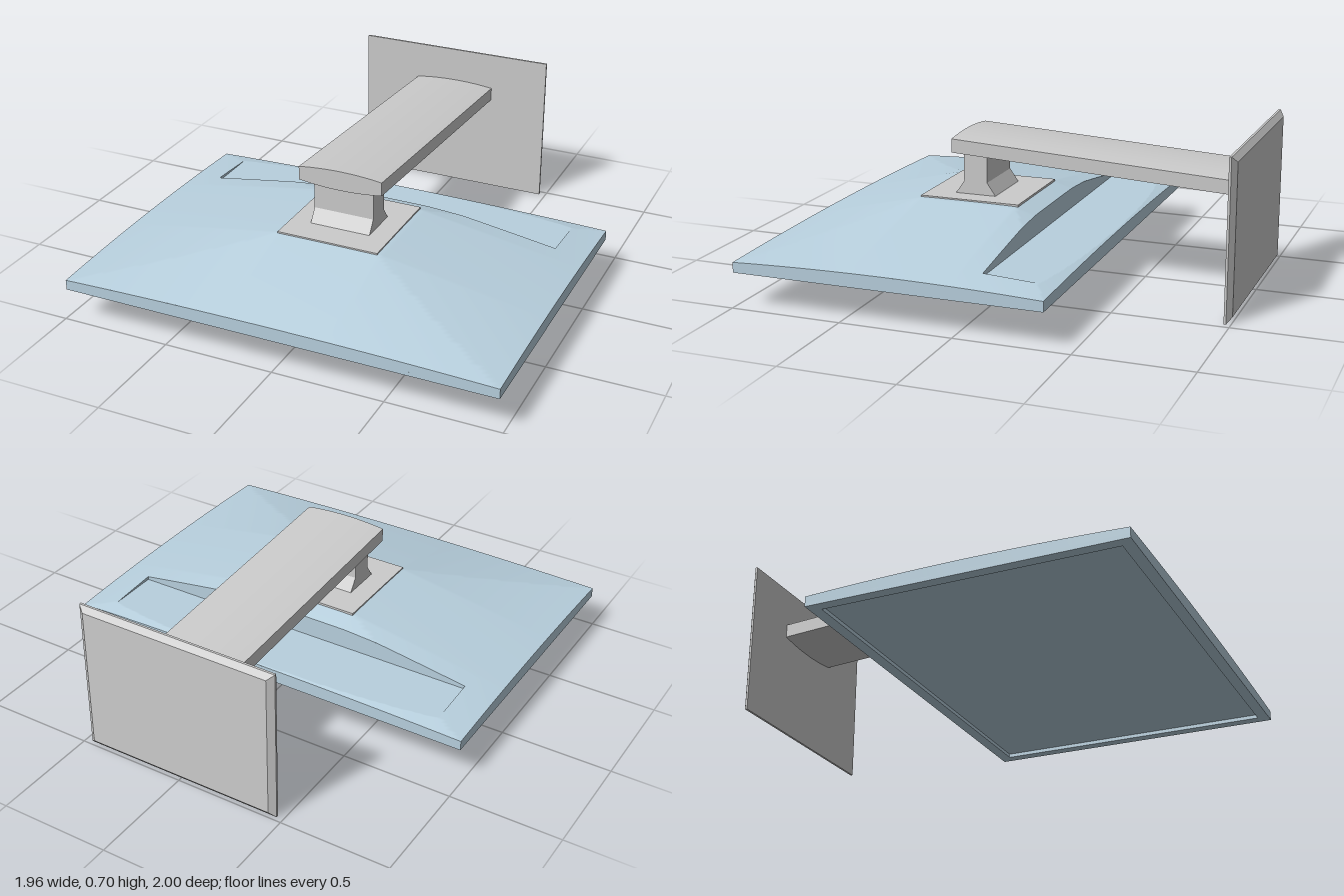
import * as THREE from 'three';
import { ParametricGeometry } from 'three/addons/geometries/ParametricGeometry.js';

const HALF_W = 0.98, BACK = -0.38, FRONT = 1.0;
const BOTTOM = 0.15, FLOOR = 0.214, STEP_Z = -0.07, STEP_X = 0.84;
const lerp = THREE.MathUtils.lerp;
const ramp = (t) => THREE.MathUtils.clamp(t, 0, 1);

// Height of the domed rear shell: a softened pyramid with a flat middle
function shellY(x, z) {
  const f = ramp((HALF_W - Math.abs(x)) / 0.74);
  const g = Math.min(ramp((z - BACK) / 0.4), ramp((FRONT - z) / 0.52));
  const dome = 0.5 * Math.min(f, g) + 0.5 * f * g;
  const nx = x / HALF_W, nz = (z - 0.31) / 0.69;
  return 0.195 + 0.016 * (1 - nx * nx) + 0.016 * (1 - nz * nz) + 0.11 * dome;
}
const recessY = (x, z) => Math.min(FLOOR, shellY(x, z));

export function createModel() {
  const group = new THREE.Group();
  const blue = new THREE.MeshStandardMaterial({ color: 0xb8d0de, side: THREE.DoubleSide });
  const grey = new THREE.MeshStandardMaterial({ color: 0xcccccc });

  function add(parent, name, geometry, material) {
    const mesh = new THREE.Mesh(geometry, material);
    mesh.name = name;
    parent.add(mesh);
    return mesh;
  }

  const display = new THREE.Group();
  display.name = 'displayPanel';
  group.add(display);

  // Patch of a height function, facing up
  function patch(name, x0, x1, z0, z1, height, nz, nx) {
    add(display, name, new ParametricGeometry((u, v, p) => {
      const z = lerp(z0, z1, u), x = lerp(x0, x1, v);
      p.set(x, height(x, z), z);
    }, nz, nx), blue);
  }
  // Upright wall over the line a to b, between two height functions
  function wall(name, a, b, low, high, n = 48) {
    add(display, name, new ParametricGeometry((u, v, p) => {
      const x = lerp(a[0], b[0], u), z = lerp(a[1], b[1], u);
      p.set(x, lerp(low(x, z), high(x, z), v), z);
    }, n, 1), blue);
  }

  // Rear shell around the recess, and the recess floor
  patch('rearShell', -HALF_W, HALF_W, STEP_Z, FRONT, shellY, 64, 98);
  patch('rearShellRight', -HALF_W, -STEP_X, BACK, STEP_Z, shellY, 24, 8);
  patch('rearShellLeft', STEP_X, HALF_W, BACK, STEP_Z, shellY, 24, 8);
  patch('recessFloor', -STEP_X, STEP_X, BACK, STEP_Z, recessY, 62, 84);

  // Recess walls
  wall('recessWall', [STEP_X, STEP_Z], [-STEP_X, STEP_Z], recessY, shellY);
  wall('recessEndLeft', [STEP_X, BACK], [STEP_X, STEP_Z], recessY, shellY);
  wall('recessEndRight', [-STEP_X, STEP_Z], [-STEP_X, BACK], recessY, shellY);

  // Outer rim
  const base = () => BOTTOM;
  const corners = [[-HALF_W, FRONT], [HALF_W, FRONT], [HALF_W, BACK], [-HALF_W, BACK]];
  corners.forEach((c, i) => wall('rim', c, corners[(i + 1) % 4], base, shellY));

  // Bezel around the sunken screen, facing down
  const w = HALF_W - 0.05, b = BACK + 0.05, f = FRONT - 0.05;
  const rect = (target, pts) => {
    pts.forEach(([x, z], i) => (i ? target.lineTo(x, z) : target.moveTo(x, z)));
    target.closePath();
    return target;
  };
  const frame = rect(new THREE.Shape(), corners);
  frame.holes.push(rect(new THREE.Path(), [[-w, f], [-w, b], [w, b], [w, f]]));
  const bezel = new THREE.ExtrudeGeometry(frame, { depth: 0.018, bevelEnabled: false });
  bezel.rotateX(Math.PI / 2);
  bezel.translate(0, BOTTOM + 0.018, 0);
  add(display, 'bezel', bezel, blue);

  const screen = new THREE.PlaneGeometry(2 * w, f - b);
  screen.rotateX(Math.PI / 2);
  screen.translate(0, BOTTOM + 0.017, (f + b) / 2);
  add(display, 'screen', screen, blue);

  // Stand
  const stand = new THREE.Group();
  stand.name = 'stand';
  group.add(stand);

  const mount = new THREE.BoxGeometry(0.47, 0.02, 0.465);
  mount.translate(0, 0.332, 0.2475);
  add(stand, 'mountPlate', mount, grey);

  // Neck: flared profile (z, y) swept across x
  const profile = new THREE.Shape([
    [0.355, 0.335], [0.31, 0.4], [0.31, 0.55], [0.2, 0.55], [0.2, 0.4], [0.155, 0.335],
  ].map(([z, y]) => new THREE.Vector2(-z, y)));
  const neck = new THREE.ExtrudeGeometry(profile, { depth: 0.28, bevelEnabled: false });
  neck.rotateY(Math.PI / 2);
  neck.scale(-1, 1, -1);
  // Turned half way round: shift so it sits centred on x with z as drawn
  neck.translate(0.14, 0, 0);
  neck.computeBoundingBox();
  neck.translate(-(neck.boundingBox.min.x + neck.boundingBox.max.x) / 2, 0,
    0.255 - (neck.boundingBox.min.z + neck.boundingBox.max.z) / 2);
  add(stand, 'neck', neck, grey);

  // Arm: section with bowed top and bottom, sheared down toward the foot
  const section = new THREE.Shape();
  section.moveTo(-0.195, 0.54);
  section.quadraticCurveTo(0, 0.511, 0.195, 0.54);
  section.lineTo(0.195, 0.602);
  section.quadraticCurveTo(0, 0.628, -0.195, 0.602);
  section.closePath();
  const arm = new THREE.ExtrudeGeometry(section, { depth: 1.32, bevelEnabled: false, curveSegments: 16 });
  arm.translate(0, 0, -0.975);
  const pos = arm.attributes.position;
  for (let i = 0; i < pos.count; i++) {
    pos.setY(i, pos.getY(i) - 0.057 * (0.345 - pos.getZ(i)));
  }
  arm.computeVertexNormals();
  add(stand, 'arm', arm, grey);

  // Foot plate with a chamfered back edge
  let foot = new THREE.BoxGeometry(0.94, 0.7, 0.03, 1, 1, 3);
  const fp = foot.attributes.position;
  for (let i = 0; i < fp.count; i++) {
    const z = fp.getZ(i);
    if (z < -0.014) {
      fp.setX(i, fp.getX(i) - Math.sign(fp.getX(i)) * 0.028);
      fp.setY(i, fp.getY(i) - Math.sign(fp.getY(i)) * 0.025);
    } else if (z < 0) {
      fp.setZ(i, 0.005);
    }
  }
  foot = foot.toNonIndexed();
  foot.computeVertexNormals();
  foot.translate(0, 0.35, -0.985);
  add(stand, 'footPlate', foot, grey);

  return group;
}
